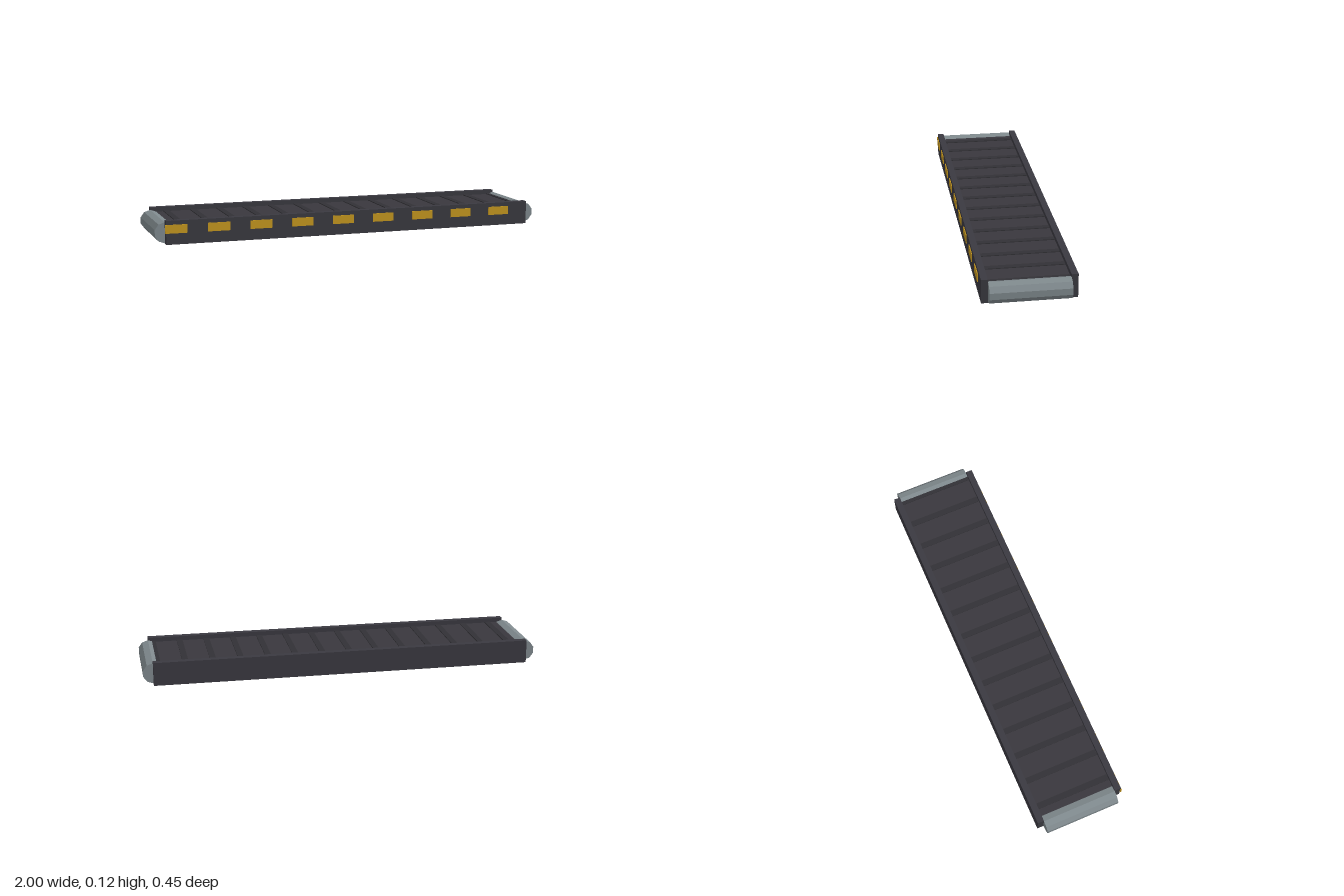
import * as THREE from 'three';

export function createModel() {
  const group = new THREE.Group();
  group.name = 'conveyor';

  const material = (name, color) => {
    const m = new THREE.MeshStandardMaterial({ color });
    m.name = name;
    return m;
  };
  const frameMat = material('charcoal frame', 0x3a3940);
  const beltMat = material('dark belt', 0x39373d);
  const slatMat = material('belt slat', 0x323136);
  const rollerMat = material('grey metal', 0x7f898d);
  rollerMat.flatShading = true;
  const yellowMat = material('warning yellow', 0xc4961f);

  const midZ = -0.001; // the stripes on the front push the body slightly back

  // Box given by its minimum and maximum corners
  const box = (name, mat, x0, x1, y0, y1, z0, z1) => {
    const mesh = new THREE.Mesh(new THREE.BoxGeometry(x1 - x0, y1 - y0, z1 - z0), mat);
    mesh.position.set((x0 + x1) / 2, (y0 + y1) / 2, (z0 + z1) / 2);
    mesh.name = name;
    group.add(mesh);
  };

  // Bed: frame base with the belt surface on top
  box('base', frameMat, -0.95, 0.95, 0, 0.05, midZ - 0.191, midZ + 0.191);
  box('belt', beltMat, -0.95, 0.95, 0.05, 0.095, midZ - 0.191, midZ + 0.191);

  // Raised slats across the belt
  for (let i = 0; i < 14; i++) {
    const x = -0.868 + i * 0.138;
    box('slat', slatMat, x - 0.015, x + 0.015, 0.09, 0.099, midZ - 0.19, midZ + 0.19);
  }

  // Side rails
  for (const s of [-1, 1]) {
    const z = midZ + s * 0.207;
    box(s > 0 ? 'frontRail' : 'backRail', frameMat, -0.95, 0.95, 0, 0.117, z - 0.016, z + 0.016);
  }

  // Ten-sided end rollers with one edge pointing up
  for (const s of [-1, 1]) {
    const geometry = new THREE.CylinderGeometry(0.0515, 0.0515, 0.381, 10);
    geometry.rotateX(-Math.PI / 2);
    geometry.rotateZ(Math.PI);
    // choose the turn that puts a vertex at the top
    const top = geometry.clone();
    top.computeBoundingBox();
    if (top.boundingBox.max.y < 0.0514) geometry.rotateZ(Math.PI);
    const roller = new THREE.Mesh(geometry, rollerMat);
    roller.position.set(s * 0.95, 0.054, midZ);
    roller.name = s > 0 ? 'leftRoller' : 'rightRoller';
    group.add(roller);
  }

  // Warning stripes along the front rail
  for (let i = 0; i < 9; i++) {
    const x = -0.902 + i * 0.2115;
    box('warningStripe', yellowMat, Math.max(x - 0.055, -0.955), x + 0.055, 0.055, 0.097, 0.22, 0.226);
  }

  return group;
}
